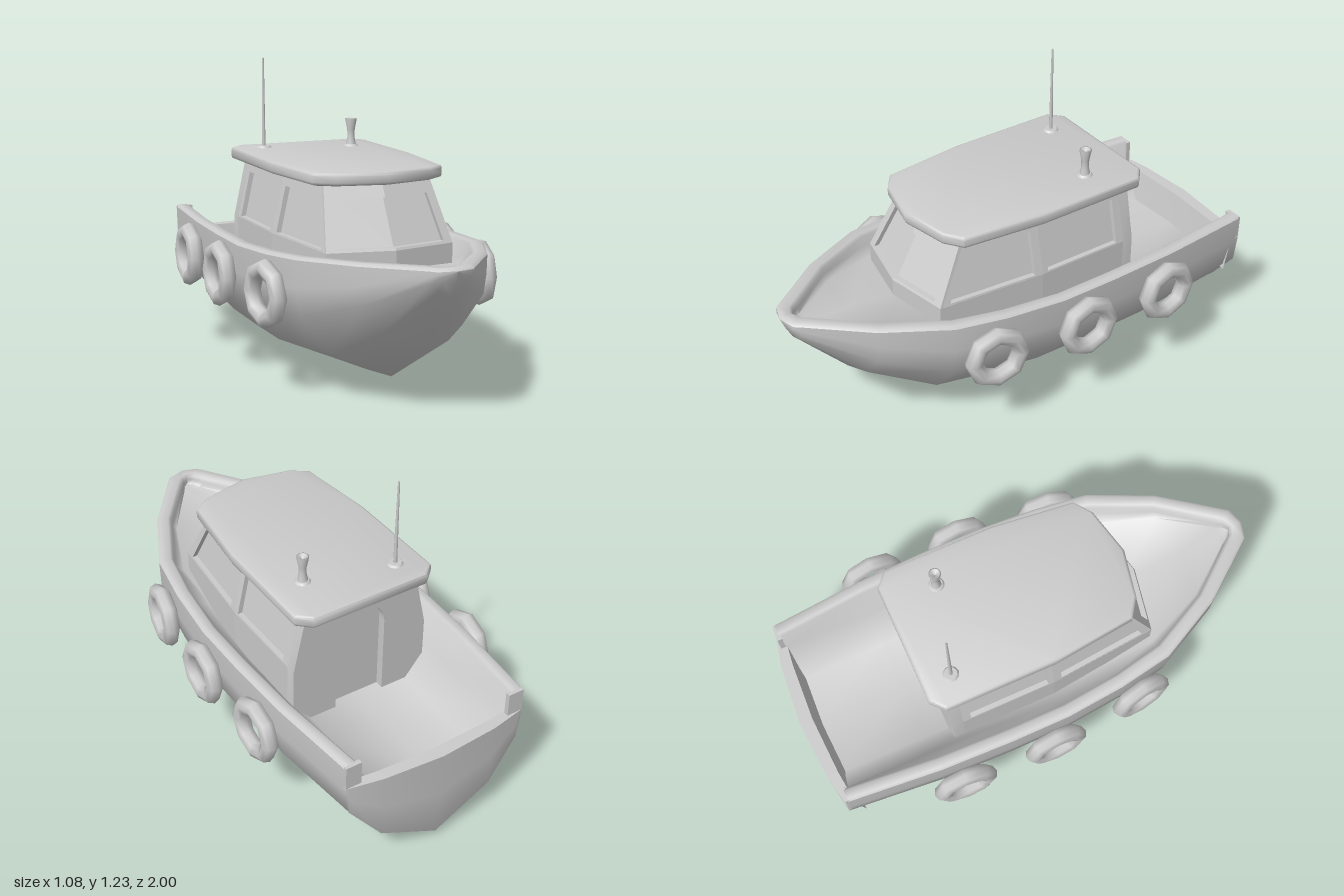
import * as THREE from 'three';
import { toCreasedNormals } from 'three/addons/utils/BufferGeometryUtils.js';

const grey = new THREE.MeshStandardMaterial({ color: 0xcccccc });
const V2 = ([x, y]) => new THREE.Vector2(x, y);
const lerp = THREE.MathUtils.lerp;

function part(name, geometry, parent, x = 0, y = 0, z = 0) {
  const mesh = new THREE.Mesh(geometry, grey);
  mesh.name = name;
  mesh.position.set(x, y, z);
  parent.add(mesh);
  return mesh;
}

// Skin a list of equally long cross-sections
function loft(rows) {
  const n = rows[0].length, index = [];
  for (let i = 0; i < rows.length - 1; i++) {
    for (let j = 0; j < n - 1; j++) {
      const a = i * n + j, c = a + n;
      index.push(a, a + 1, c, a + 1, c + 1, c);
    }
  }
  const g = new THREE.BufferGeometry();
  g.setAttribute('position', new THREE.Float32BufferAttribute(rows.flat(2), 3));
  g.setIndex(index);
  g.computeVertexNormals();
  return g;
}

// Half section running from the edge to the centre line, completed by mirroring
const mirrorRow = (half) => [...half, ...half.slice(0, -1).reverse().map(([x, y, z]) => [-x, y, z])];

// Extruded outline whose vertices are moved by a rule
function panel(outline, depth, rule, hole) {
  const shape = outline instanceof THREE.Shape ? outline : new THREE.Shape(outline.map(V2));
  if (hole) shape.holes.push(new THREE.Path(hole.map(V2)));
  const g = new THREE.ExtrudeGeometry(shape, { depth, bevelEnabled: false, curveSegments: 8 });
  const p = g.attributes.position;
  for (let i = 0; i < p.count; i++) p.setXYZ(i, ...rule(p.getX(i), p.getY(i), p.getZ(i)));
  g.computeVertexNormals();
  return g;
}

function makeHull(boat) {
  // z, half width, keel height, gunwale height | inner z, inner half width | wall foot x, y | floor half width, height
  const stations = [
    [1.0, 0, 0.59, 0.602, 0.945, 0, 0, 0.58, 0, 0.56],
    [0.98, 0.07, 0.54, 0.6, 0.93, 0.03, 0.028, 0.575, 0.02, 0.555],
    [0.955, 0.09, 0.49, 0.6, 0.9, 0.055, 0.05, 0.57, 0.04, 0.55],
    [0.73, 0.265, 0.24, 0.587, 0.7, 0.215, 0.21, 0.55, 0.19, 0.525],
    [0.47, 0.395, 0.07, 0.57, 0.455, 0.335, 0.325, 0.52, 0.29, 0.49],
    [0.25, 0.43, 0.038, 0.553, 0.25, 0.372, 0.35, 0.47, 0.28, 0.44],
    [0, 0.45, 0.008, 0.54, 0, 0.395, 0.35, 0.45, 0.26, 0.38],
    [-0.25, 0.45, 0.005, 0.54, -0.25, 0.395, 0.34, 0.44, 0.23, 0.32],
    [-0.55, 0.44, 0.003, 0.54, -0.55, 0.385, 0.325, 0.43, 0.225, 0.305],
    [-0.94, 0.405, 0.027, 0.54, -0.94, 0.348, 0.335, 0.435, 0.22, 0.3],
  ];
  const round = 0.01;
  const section = [[1, 1], [0.99, 0.78], [0.95, 0.56], [0.62, 0.235], [0, 0]];
  const outer = stations.map(([z, w, yk, yg]) =>
    section.map(([fx, fy]) => [fx * w, yk + fy * (yg - round - yk), z]));

  // Stern rows: the last section bulges aft, then rises to the transom top
  const topY = 0.435;
  const sternZ = (x, y) => -0.95 - 0.05 * Math.max(0, 1 - (x / 0.405) ** 2) * (0.6 + 0.4 * y / topY);
  const last = outer[outer.length - 1];
  for (const t of [0, 0.5, 1]) {
    outer.push(last.map(([x, y0]) => {
      const y = y0 + t * Math.max(0, topY - y0);
      return [x, y, sternZ(x, y)];
    }));
  }
  part('hull', loft(outer.map(mirrorRow)), boat);

  // Rounded gunwale rail, bulwark and floor
  const inside = loft(stations.map(([z, w, , yg, zi, wi, wm, ym, wf, yf]) => {
    const rail = (t, y) => [-lerp(w, wi, t), y, lerp(z, zi, t)];
    return mirrorRow([rail(0, yg - round), rail(0.2, yg), rail(0.8, yg), rail(1, yg - round),
      [-wm, ym, zi], [-wf, yf, zi], [0, yf, zi]]);
  }));
  part('deck', toCreasedNormals(inside, 1.1), boat);

  // Transom top and inner face, leaning in towards the floor
  const xs = [0.401, 0.385, 0.251, 0];
  const innerZ = (x) => -0.915 - 0.03 * (1 - (x / 0.401) ** 2);
  const transom = loft([
    mirrorRow(xs.map((x) => [x, topY, sternZ(x, topY)])),
    mirrorRow(xs.map((x) => [x, topY, innerZ(x)])),
    mirrorRow(xs.map((x) => [x, 0.29, innerZ(x) + 0.03])),
  ]);
  part('transom', toCreasedNormals(transom, 0.6), boat);

  // Squared aft ends of the bulwarks
  for (const s of [1, -1]) {
    part('bulwarkEnd', new THREE.BoxGeometry(0.067, 0.107, 0.02), boat, s * 0.3685, 0.4815, -0.941);
  }
}

function makeCabin(boat) {
  const cabin = new THREE.Group();
  cabin.name = 'cabin';
  boat.add(cabin);

  // Lower house
  const plan = [[0.305, -0.4], [0.305, 0], [0.265, 0.455], [0, 0.508], [-0.265, 0.455], [-0.305, 0], [-0.305, -0.4]];
  part('cabinBase', panel(plan, 0.28, (x, z, w) => [x, 0.57 - w, z]), cabin);

  // Sloping window walls, made for one side and mirrored
  const sideWall = (inset) => (z, y, w) =>
    [0.305 - 0.22 * (y - 0.57) - 0.09 * Math.max(z, 0) - inset - w, y, z];
  const frontWall = (inset) => (x, y, w) =>
    [x, y, 0.508 - 0.54 * (y - 0.57) - 0.2 * x - inset + w];
  const aft = [[-0.4, 0.57], [0, 0.57], [0, 0.82], [-0.4, 0.82]];
  const fore = [[0, 0.57], [0.455, 0.57], [0.328, 0.82], [0, 0.82]];
  const screen = [[0, 0.57], [0.265, 0.57], [0.222, 0.82], [0, 0.82], [0, 0.757], [0.195, 0.757], [0.225, 0.58], [0, 0.58]];
  for (const s of [1, -1]) {
    const side = new THREE.Group();
    side.name = s > 0 ? 'leftCabinWalls' : 'rightCabinWalls';
    side.scale.x = s;
    cabin.add(side);
    part('aftWindowFrame', panel(aft, 0.03, sideWall(0),
      [[-0.365, 0.577], [-0.365, 0.762], [-0.025, 0.762], [-0.025, 0.577]]), side);
    part('foreWindowFrame', panel(fore, 0.03, sideWall(0),
      [[0.035, 0.577], [0.035, 0.762], [0.33, 0.762], [0.41, 0.577]]), side);
    part('aftWindow', panel([[-0.39, 0.572], [0, 0.572], [0, 0.8], [-0.39, 0.8]], 0.008, sideWall(0.02)), side);
    part('foreWindow', panel([[0, 0.572], [0.42, 0.572], [0.315, 0.8], [0, 0.8]], 0.008, sideWall(0.02)), side);
    part('windscreenFrame', panel(screen, 0.03, frontWall(0.03)), side);
    part('windscreen', panel([[0, 0.572], [0.24, 0.572], [0.208, 0.8], [0, 0.8]], 0.008, frontWall(0.03)), side);
  }

  // Back wall with an arched doorway
  const back = new THREE.Shape([[0.11, 0.29], [0.305, 0.29], [0.305, 0.57], [0.25, 0.82],
    [-0.25, 0.82], [-0.305, 0.57], [-0.305, 0.29], [-0.11, 0.29], [-0.11, 0.65]].map(V2));
  back.absarc(0, 0.65, 0.11, Math.PI, 0, true);
  part('backWall', toCreasedNormals(panel(back, 0.045, (x, y, w) => [x, y, w - 0.445]), 0.6), cabin);
  part('door', new THREE.BoxGeometry(0.26, 0.5, 0.02), cabin, 0, 0.54, -0.4);

  // Roof slab with rounded rim
  const rim = [[0.255, -0.51], [0.31, -0.46], [0.31, 0], [0.272, 0.345], [0.2, 0.397]];
  const roofShape = new THREE.Shape([...rim, [0, 0.44], ...rim.slice().reverse().map(([x, z]) => [-x, z])].map(V2));
  const roof = new THREE.ExtrudeGeometry(roofShape, {
    depth: 0.026, bevelThickness: 0.012, bevelSize: 0.012, bevelOffset: -0.012, bevelSegments: 2,
  });
  roof.rotateX(Math.PI / 2);
  part('roof', toCreasedNormals(roof, 0.9), cabin, 0, 0.847, 0);
}

export function createModel() {
  const boat = new THREE.Group();
  boat.name = 'boat';
  makeHull(boat);
  makeCabin(boat);

  // Tyre fenders along both sides
  const tyre = new THREE.TorusGeometry(0.1, 0.035, 8, 8);
  for (const s of [1, -1]) {
    for (const [x, z, yaw] of [[0.46, 0.325, -0.15], [0.502, -0.08, -0.02], [0.498, -0.48, 0.03]]) {
      part('fender', tyre, boat, s * x, 0.408, z).rotation.y = Math.PI / 2 + s * yaw;
    }
  }

  // Antenna and horn on the roof
  const foot = new THREE.CylinderGeometry(0.026, 0.035, 0.01, 10);
  part('antennaFoot', foot, boat, -0.19, 0.862, -0.39);
  part('antenna', new THREE.CylinderGeometry(0.004, 0.008, 0.375, 8), boat, -0.19, 1.048, -0.39);
  part('hornFoot', foot, boat, 0.17, 0.862, -0.295);
  const horn = [[0.022, 0], [0.015, 0.035], [0.016, 0.065], [0.025, 0.112], [0.018, 0.114], [0, 0.097]];
  part('horn', new THREE.LatheGeometry(horn.map(V2), 10), boat, 0.17, 0.862, -0.295);
  return boat;
}
